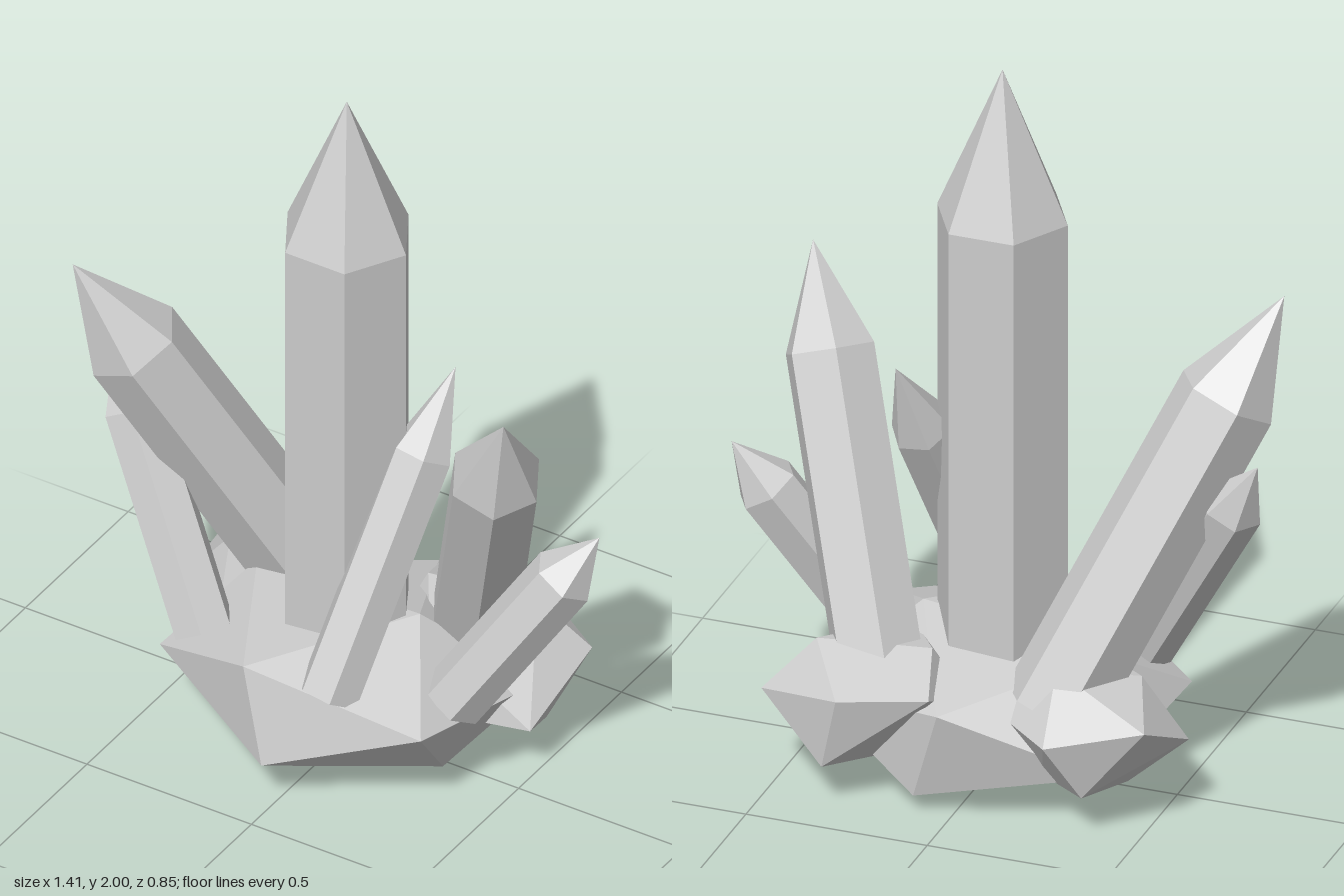
import * as THREE from 'three';
import { ConvexGeometry } from 'three/addons/geometries/ConvexGeometry.js';

const stone = new THREE.MeshStandardMaterial({ color: 0xcccccc });
stone.name = 'grey stone';

// Six-sided pointed prism running from base to tip; shoulder is the length fraction where the point begins
function crystal(name, base, tip, radius, shoulder, taper = 1) {
  const a = new THREE.Vector3(...base);
  const axis = new THREE.Vector3(...tip).sub(a);
  const length = axis.length();
  const profile = [[0, 0], [radius * taper, 0], [radius, length * shoulder], [0, length]]
    .map(([r, y]) => new THREE.Vector2(r, y));
  const lathe = new THREE.LatheGeometry(profile, 6, Math.PI / 2);
  const geometry = lathe.toNonIndexed();
  geometry.computeVertexNormals();
  const mesh = new THREE.Mesh(geometry, stone);
  mesh.name = name;
  mesh.position.copy(a);
  mesh.quaternion.setFromUnitVectors(new THREE.Vector3(0, 1, 0), axis.normalize());
  return mesh;
}

// Twelve-cornered boulder: six corners, each mirrored through the centre
function rock(name, center, corners) {
  const c = new THREE.Vector3(...center);
  const points = [];
  for (const corner of corners) {
    const p = new THREE.Vector3(...corner);
    points.push(p, c.clone().multiplyScalar(2).sub(p));
  }
  const mesh = new THREE.Mesh(new ConvexGeometry(points), stone);
  mesh.name = name;
  return mesh;
}

export function createModel() {
  const model = new THREE.Group();
  model.name = 'crystalCluster';

  // Upright main crystal and the leaning ones around it
  model.add(
    crystal('mainCrystal', [-0.01, 0.2, 0.02], [-0.01, 2, 0.02], 0.18, 0.767),
    crystal('tallRightCrystal', [-0.22, 0.28, -0.18], [-0.7, 1.36, 0.25], 0.135, 0.755),
    crystal('shortRightCrystal', [-0.33, 0.31, 0.2], [-0.71, 0.97, 0.03], 0.085, 0.78),
    crystal('frontCrystal', [0.11, 0.33, 0.3], [0.23, 1.16, -0.125], 0.085, 0.74),
    crystal('tallLeftCrystal', [0.25, 0.3, -0.18], [0.585, 1.31, 0.21], 0.125, 0.75),
    crystal('shortLeftCrystal', [0.36, 0.29, 0.1], [0.705, 0.835, -0.065], 0.088, 0.76),
  );

  // Boulders at the foot
  model.add(
    rock('baseRock', [0, 0.22, 0.02], [
      [-0.46, 0.22, 0.21], [-0.02, 0.13, 0.42], [0.39, 0.29, 0.3],
      [-0.2, 0, 0.04], [0.32, 0.05, 0.08], [-0.1, 0.39, 0.38],
    ]),
    rock('backLeftRock', [0.28, 0.25, -0.2], [
      [0.53, 0.27, -0.31], [0.28, 0.33, -0.43], [0.33, 0.12, -0.4],
      [0.05, 0.34, -0.36], [0.46, 0.09, -0.2], [0.4, 0.41, -0.25],
    ]),
    rock('backRightRock', [-0.33, 0.25, -0.17], [
      [-0.57, 0.22, -0.1], [-0.53, 0.33, -0.32], [-0.28, 0.28, -0.4],
      [-0.41, 0.08, -0.12], [-0.36, 0.12, -0.33], [-0.44, 0.38, -0.1],
    ]),
  );
  return model;
}
